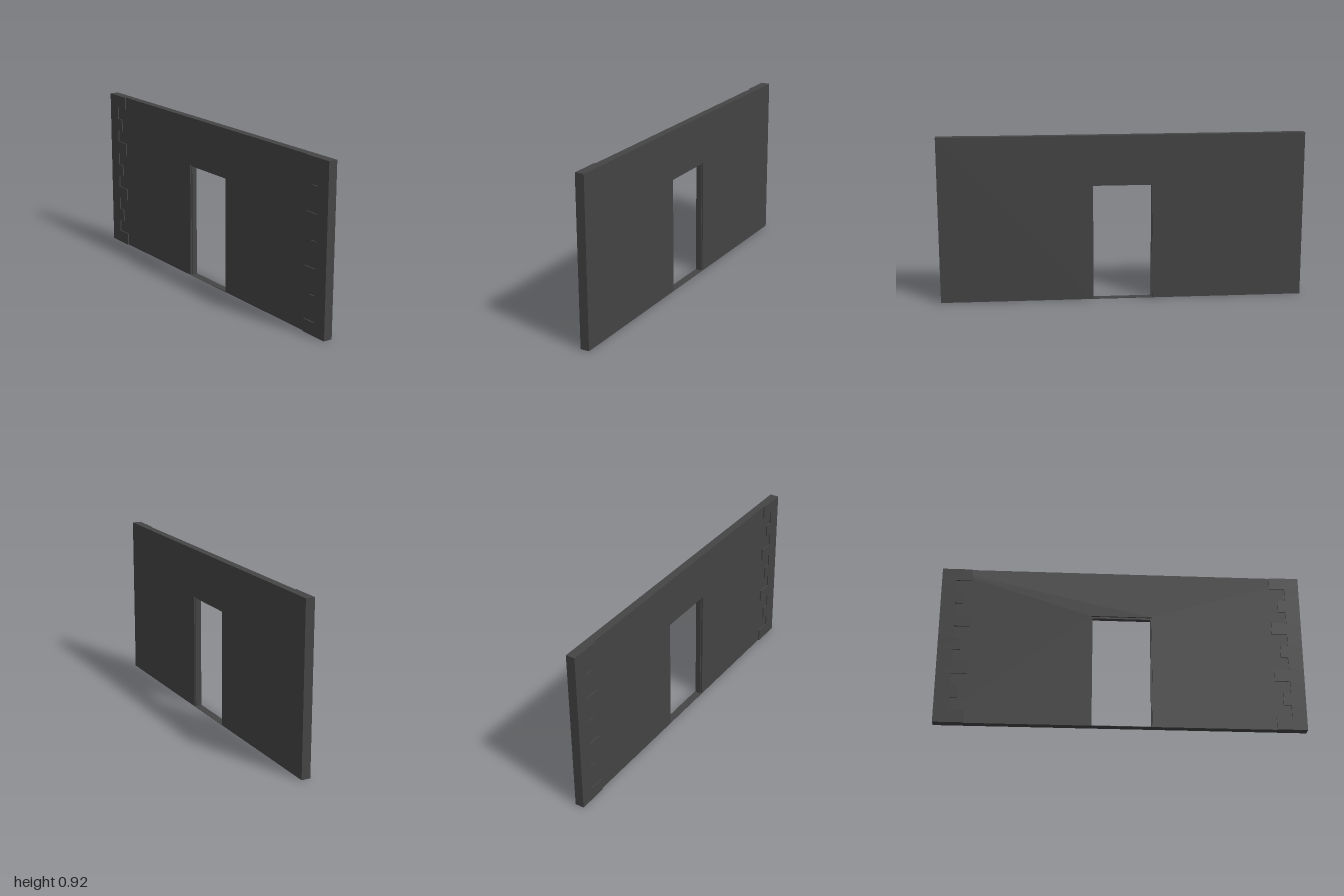
import * as THREE from 'three';

const HEIGHT = 0.917;

export function createModel() {
  const group = new THREE.Group();
  group.name = 'doorwayWall';
  const material = new THREE.MeshStandardMaterial({ color: 0x444444 });

  // Wall slab between two x planes, with a doorway cut up from the floor
  function slab(name, x0, x1, doorHalf, doorTop) {
    const shape = new THREE.Shape();
    shape.moveTo(-1, 0);
    shape.lineTo(-doorHalf, 0);
    shape.lineTo(-doorHalf, doorTop);
    shape.lineTo(doorHalf, doorTop);
    shape.lineTo(doorHalf, 0);
    shape.lineTo(1, 0);
    shape.lineTo(1, HEIGHT);
    shape.lineTo(-1, HEIGHT);
    shape.closePath();
    const geometry = new THREE.ExtrudeGeometry(shape, { depth: x1 - x0, bevelEnabled: false });
    geometry.rotateY(Math.PI / 2);
    geometry.translate(x0, 0, 0);
    const mesh = new THREE.Mesh(geometry, material);
    mesh.name = name;
    group.add(mesh);
  }

  function box(name, parent, x0, x1, y0, y1, z0, z1) {
    const mesh = new THREE.Mesh(new THREE.BoxGeometry(x1 - x0, y1 - y0, z1 - z0), material);
    mesh.position.set((x0 + x1) / 2, (y0 + y1) / 2, (z0 + z1) / 2);
    mesh.name = name;
    parent.add(mesh);
  }

  // The core has a slightly smaller doorway, leaving a stepped door surround
  slab('outerFace', -0.018, -0.009, 0.167, 0.65);
  slab('wallCore', -0.009, 0.018, 0.16, 0.64);
  slab('innerFace', 0.018, 0.025, 0.167, 0.65);

  // Thin threshold across the doorway
  box('threshold', group, -0.018, 0.025, 0, 0.002, -0.167, 0.167);

  // Corner stones in toothed courses at both ends of the outer face
  const widths = [0.165, 0.08, 0.122, 0.08];
  const courses = 13;
  const step = HEIGHT / courses;
  for (const side of [-1, 1]) {
    const quoins = new THREE.Group();
    quoins.name = side > 0 ? 'frontQuoins' : 'backQuoins';
    for (let i = 0; i < courses; i++) {
      const edge = 1 - widths[i % widths.length];
      box('quoin', quoins, -0.025, -0.018, i * step, (i + 1) * step,
        side > 0 ? edge : -1, side > 0 ? 1 : -edge);
    }
    group.add(quoins);
  }

  return group;
}
